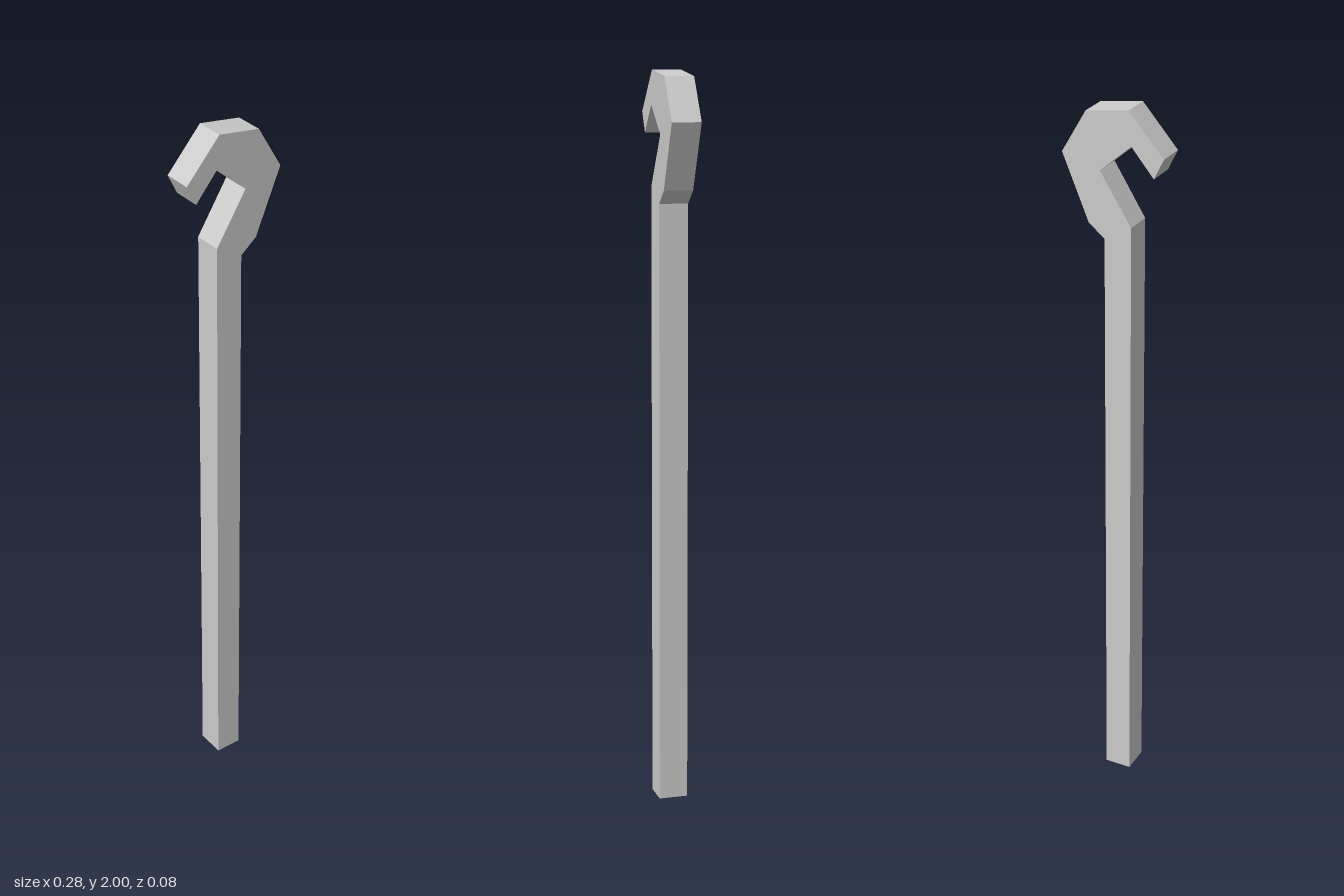
import * as THREE from 'three';

export function createModel() {
  const group = new THREE.Group();
  group.name = 'crookedStaff';
  const depth = 0.08;

  // Staff outline: straight shaft, then round the hook and back down
  const outline = [
    [-0.053, 0], [0.022, 0], [0.022, 1.653], // shaft foot and right edge
    [0.067, 1.69], [0.141, 1.867], [0.073, 1.983], [-0.045, 2], [-0.142, 1.89], // outer hook
    [-0.115, 1.835], [-0.053, 1.909], [0.034, 1.834], [-0.053, 1.695], // tip and inner hook
  ].map(([x, y]) => new THREE.Vector2(x, y));

  // Square-section body, centred front to back
  const geometry = new THREE.ExtrudeGeometry(new THREE.Shape(outline), { depth, bevelEnabled: false });
  geometry.translate(0, 0, -depth / 2);

  const staff = new THREE.Mesh(geometry, new THREE.MeshStandardMaterial({ color: 0xcccccc, flatShading: true }));
  staff.name = 'hookedStaff';
  group.add(staff);
  return group;
}
